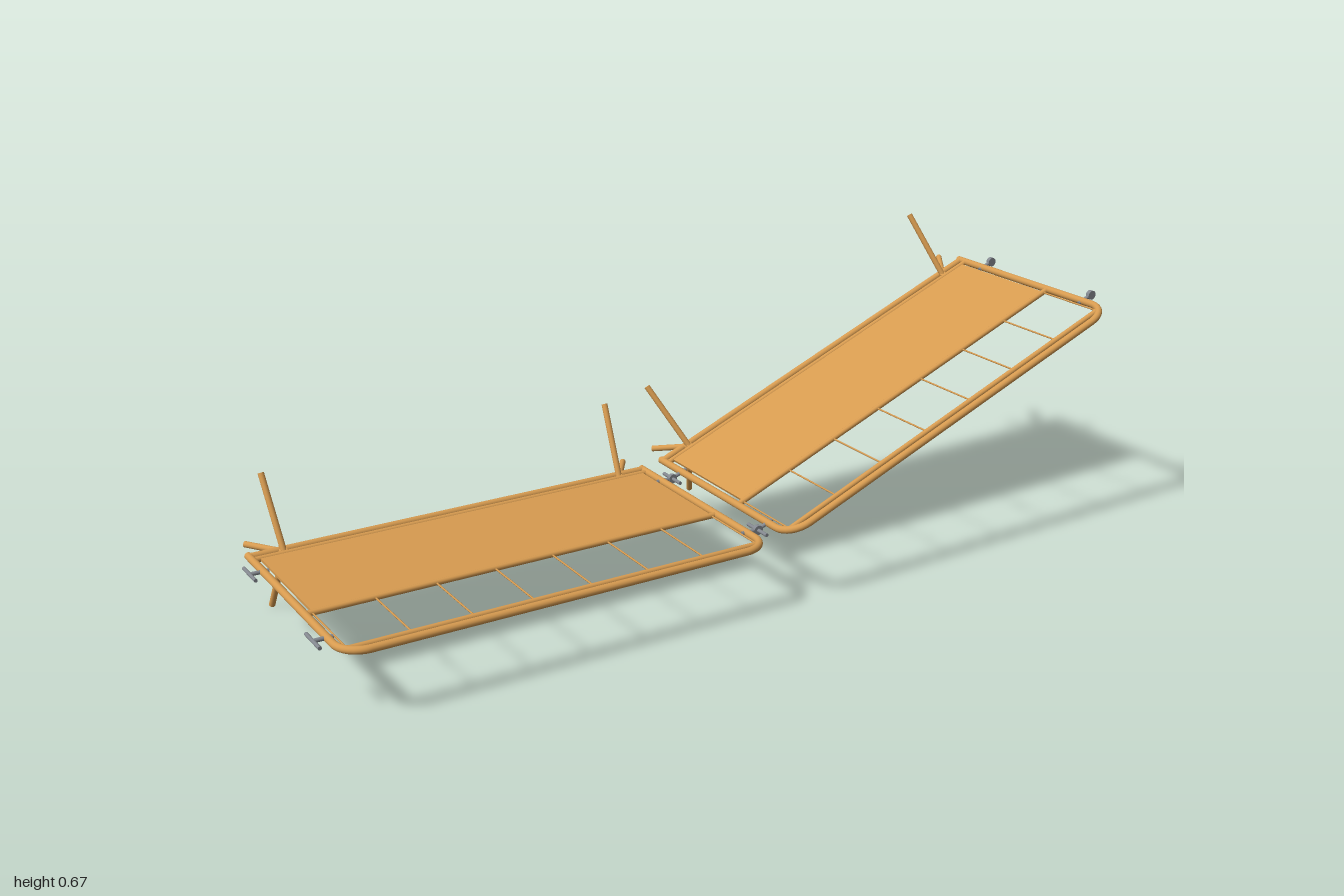
import * as THREE from 'three';

const wood = new THREE.MeshStandardMaterial({ color: 0xd79b50 });
const metal = new THREE.MeshStandardMaterial({ color: 0x84888f });

// Round bar between two points
function rod(group, name, a, b, radius, material = wood, sides = 16) {
  const from = new THREE.Vector3(...a), to = new THREE.Vector3(...b);
  const dir = to.clone().sub(from);
  const mesh = new THREE.Mesh(new THREE.CylinderGeometry(radius, radius, dir.length(), sides), material);
  mesh.position.copy(from).add(to).multiplyScalar(0.5);
  mesh.quaternion.setFromUnitVectors(new THREE.Vector3(0, 1, 0), dir.normalize());
  mesh.name = name;
  group.add(mesh);
  return mesh;
}

// One framed panel lying in its own xz plane, centred on x
function panel(name) {
  const g = new THREE.Group();
  g.name = name;
  const X = 0.486, FRONT = 0.303, BACK = -0.233, R = 0.0085, BEND = 0.055;

  // Outer frame: front and back bars, side bars, bent front corners
  rod(g, 'frontBar', [-X + BEND, 0, FRONT], [X - BEND, 0, FRONT], R);
  rod(g, 'backBar', [-X, 0, BACK], [X, 0, BACK], R);
  for (const s of [-1, 1]) {
    rod(g, 'sideBar', [s * X, 0, BACK - R], [s * X, 0, FRONT - BEND], R);
    const corner = new THREE.Mesh(new THREE.TorusGeometry(BEND, R, 16, 8, Math.PI / 2), wood);
    corner.rotation.set(Math.PI / 2, 0, s > 0 ? 0 : Math.PI / 2);
    corner.position.set(s * (X - BEND), 0, FRONT - BEND);
    corner.name = 'frameCorner';
    g.add(corner);
  }

  // Long inner rails and the thin cross rods between the front two
  rod(g, 'frontRail', [-0.478, 0, 0.281], [0.478, 0, 0.281], 0.0065);
  rod(g, 'middleRail', [-X, 0, 0.094], [X, 0, 0.094], 0.0065);
  rod(g, 'backRail', [-X, 0, -0.213], [X, 0, -0.213], 0.0065);
  for (let i = 0; i < 8; i++) {
    const x = (i - 3.5) * 0.1345;
    rod(g, 'crossRod', [x, 0, 0.094], [x, 0, 0.281], 0.002, wood, 8);
  }

  // Flat board between the middle and back rails
  const board = new THREE.Mesh(new THREE.BoxGeometry(0.94, 0.006, 0.307), wood);
  board.position.set(0, 0, -0.0595);
  board.name = 'board';
  g.add(board);

  // Three splayed legs near each back corner
  for (const s of [-1, 1]) {
    const legs = new THREE.Group();
    legs.name = s < 0 ? 'rightLegs' : 'leftLegs';
    for (const v of [-1, 1]) {
      rod(legs, 'uprightLeg', [s * 0.413, -v * 0.006, -0.219], [s * 0.423, v * 0.156, -0.304], 0.007);
    }
    rod(legs, 'cornerLeg', [s * 0.414, 0, -0.222], [s * 0.471, 0, -0.305], 0.007);
    g.add(legs);
  }

  // Hinges: crossbar pins on one end, eyes on the other
  for (const z of [0.215, -0.147]) {
    rod(g, 'pinStem', [-0.474, 0, z], [-0.515, 0, z], 0.0045, metal);
    rod(g, 'hingePin', [-0.515, 0, z - 0.037], [-0.515, 0, z + 0.037], 0.0042, metal);
    rod(g, 'eyeStem', [0.474, 0, z], [0.51, 0, z], 0.0045, metal);
    rod(g, 'hingeEye', [0.515, 0, z - 0.005], [0.515, 0, z + 0.005], 0.011, metal, 24);
  }
  return g;
}

export function createModel() {
  const model = new THREE.Group();
  model.name = 'hingedPanels';

  // Level panel
  const level = panel('levelPanel');
  level.position.set(-0.481, 0.16, 0);

  // Raised panel, turned about the shared hinge line
  const tilt = Math.PI / 8, reach = 0.515;
  const raised = panel('raisedPanel');
  raised.rotation.z = tilt;
  raised.position.set(0.034 + reach * Math.cos(tilt), 0.16 + reach * Math.sin(tilt), 0);

  model.add(level, raised);
  return model;
}
